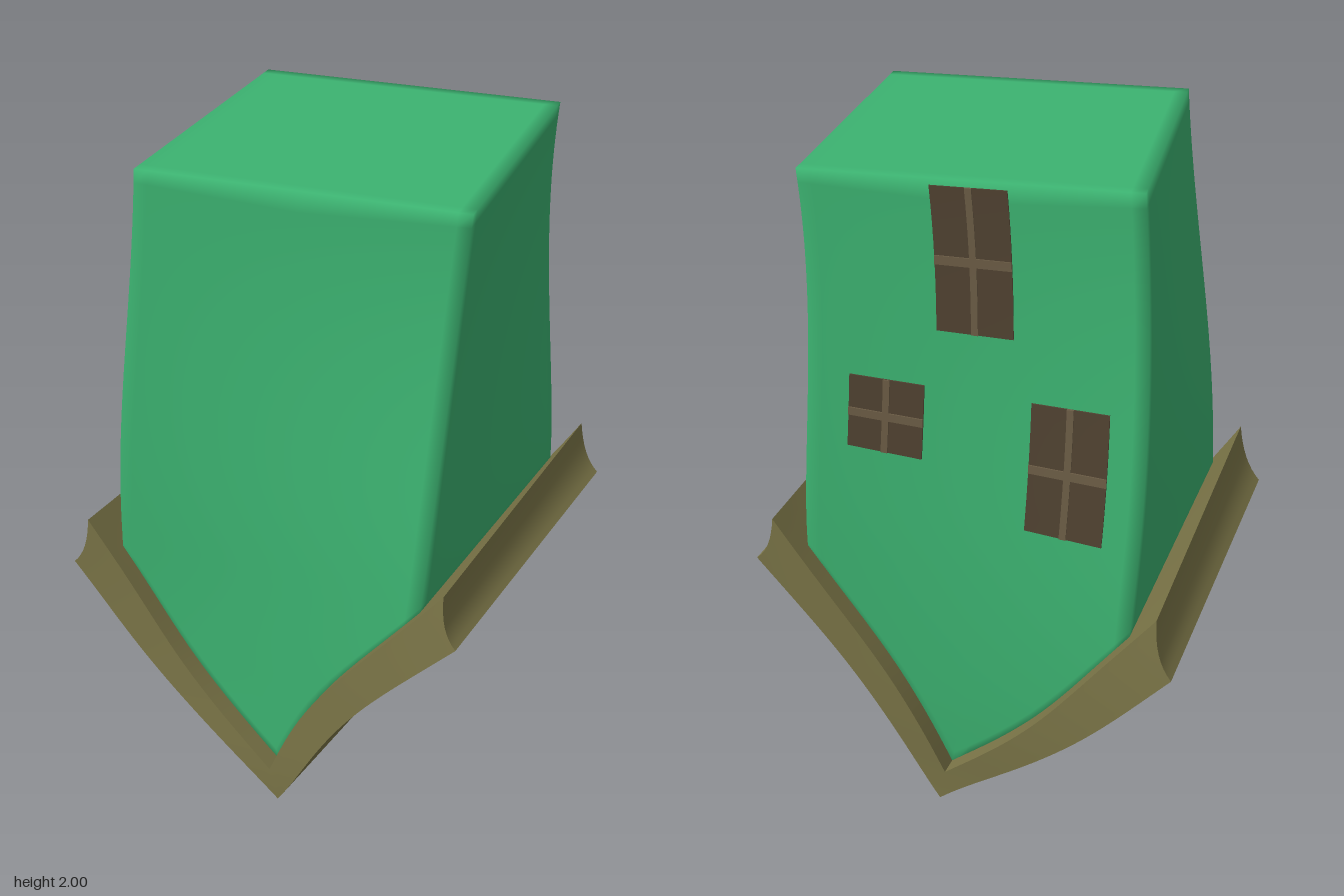
import * as THREE from 'three';
import { toCreasedNormals } from 'three/addons/utils/BufferGeometryUtils.js';

const GREEN = 0x3cb371, OLIVE = 0x7c7648, PANE = 0x504231, BAR = 0x6b5c45;
const { smoothstep, lerp, degToRad } = THREE.MathUtils;

// Bends, twists and tapers an upright house; u and w run -1..1 across and in depth.
function place(u, y, w) {
  const h = 0.449 + 0.041 * smoothstep(-y, -2, -0.85) - 0.035 * Math.max(0, 0.85 - y) ** 2;
  const a = degToRad(1 + 9.8 * smoothstep(-y, -2, -0.3));
  const cx = 0.045 * (y - 1) ** 2
    - 0.028 * Math.exp(-(((y - 0.45) / 0.25) ** 2))
    + 0.025 * Math.exp(-((y / 0.2) ** 2));
  const cz = 0.004 * y * y + 0.033 * Math.exp(-((y / 0.3) ** 2));
  const x = cx + h * (u * Math.cos(a) - w * Math.sin(a));
  const z = cz + h * (u * Math.sin(a) + w * Math.cos(a));
  const tilt = 1 - y / 2;
  return [x, y + tilt * (0.145 * x + 0.07 * z), z];
}

// A box of -1..1 whose vertices go through a rule into house space, then through the bend.
function bentBox(name, color, [sx, sy, sz], rule, crease = 0.5) {
  const geo = new THREE.BoxGeometry(2, 2, 2, sx, sy, sz);
  const pos = geo.attributes.position;
  for (let i = 0; i < pos.count; i++) {
    pos.setXYZ(i, ...place(...rule(pos.getX(i), pos.getY(i), pos.getZ(i))));
  }
  const mesh = new THREE.Mesh(
    toCreasedNormals(geo, crease),
    new THREE.MeshStandardMaterial({ color })
  );
  mesh.name = name;
  return mesh;
}

// A window on the back wall, with a cross of glazing bars.
function makeWindow(name, u, y, halfW, halfH) {
  const group = new THREE.Group();
  group.name = name;
  const slab = (part, color, hw, hh, depth) =>
    bentBox(part, color, [2, 8, 1], (a, b, c) => [u + a * hw, y + b * hh, -1 + c * depth]);
  group.add(
    slab('pane', PANE, halfW, halfH, 0.009),
    slab('verticalBar', BAR, 0.02, halfH, 0.017),
    slab('horizontalBar', BAR, halfW, 0.012, 0.017)
  );
  return group;
}

export function createModel() {
  const model = new THREE.Group();
  model.name = 'upsideDownHouse';

  // Walls: flat top, gables pointing down into the roof, softly shaded edges
  model.add(bentBox('walls', GREEN, [24, 32, 24], (u, t, w) => {
    const bottom = 0.11 + 0.68 * Math.abs(u);
    return [u, lerp(bottom, 2, (t + 1) / 2), w];
  }, 2));

  // Roof: a V that thickens towards its scooped eaves
  model.add(bentBox('roof', OLIVE, [48, 8, 24], (x, v, w) => {
    const t = (v + 1) / 2;
    const s0 = Math.abs(x);
    const s = s0 - 0.02 * 4 * t * (1 - t) * s0 ** 6;
    const u = s * lerp(1.287, 1.163, t);
    const y = lerp(0.01 + 0.745 * s, 0.13 + 0.792 * s, t);
    return [Math.sign(x) * u, y, w * 1.117];
  }));

  // Back windows
  model.add(
    makeWindow('topWindow', 0, 1.787, 0.225, 0.195),
    makeWindow('smallWindow', 0.52, 1.315, 0.225, 0.112),
    makeWindow('tallWindow', -0.56, 1.24, 0.225, 0.185)
  );
  return model;
}
